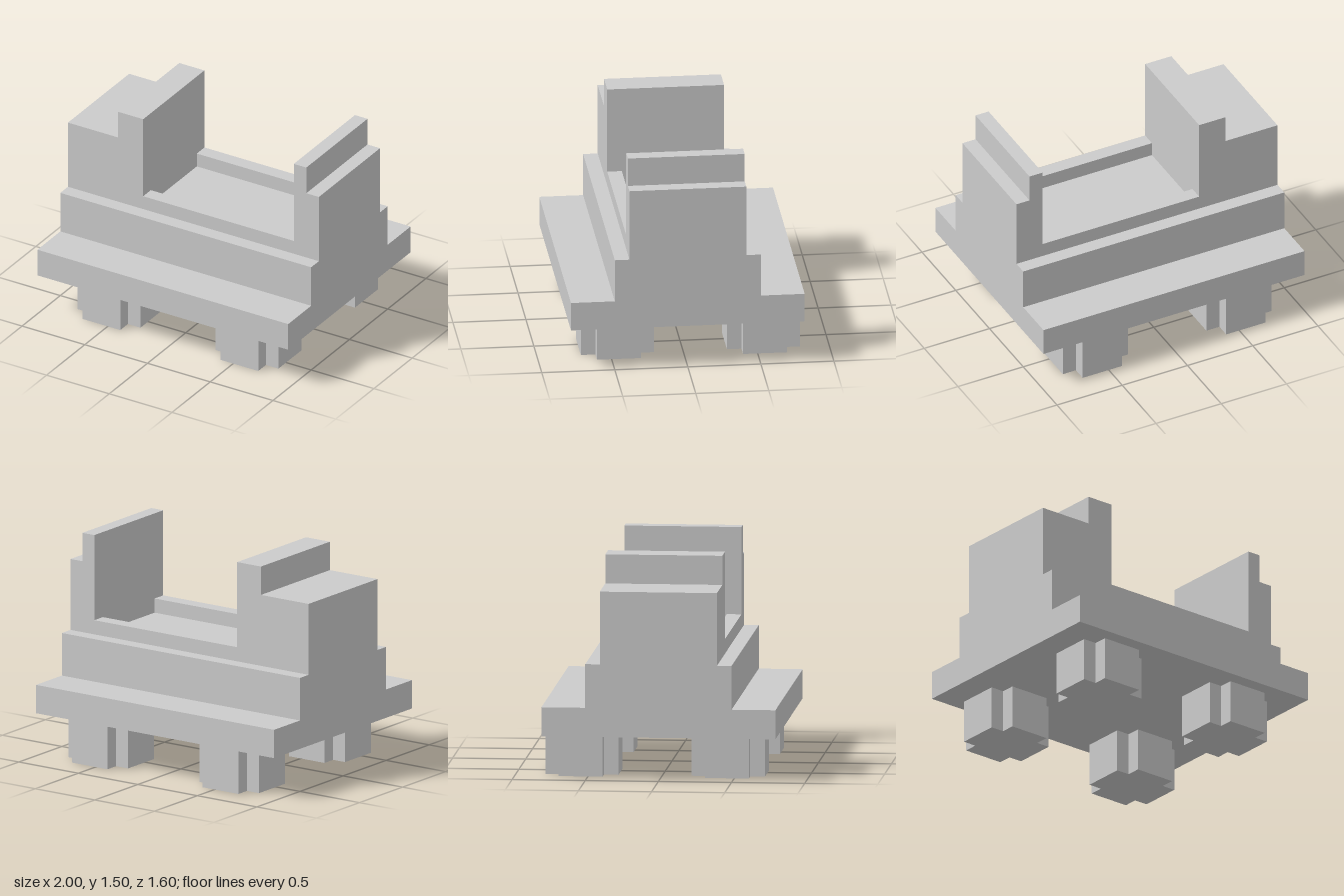
import * as THREE from 'three';

const material = new THREE.MeshStandardMaterial({ color: 0xcccccc, flatShading: true });

// Extrude an outline of [x, y] points along z, centred on z = 0.
function prism(name, points, depth) {
  const shape = new THREE.Shape(points.map(([x, y]) => new THREE.Vector2(x, y)));
  const geometry = new THREE.ExtrudeGeometry(shape, { depth, bevelEnabled: false });
  geometry.translate(0, 0, -depth / 2);
  const mesh = new THREE.Mesh(geometry, material);
  mesh.name = name;
  return mesh;
}

export function createModel() {
  const model = new THREE.Group();
  model.name = 'steppedCradle';

  // Stepped base, running the full length along x
  const base = prism('steppedBase', [
    [-0.8, 0.3], [0.8, 0.3], [0.8, 0.5], [0.5, 0.5],
    [0.5, 0.8], [-0.5, 0.8], [-0.5, 0.5], [-0.8, 0.5],
  ], 2);
  base.rotation.y = Math.PI / 2;
  model.add(base);

  // End blocks, each with a raised inner lip
  model.add(prism('wideEndBlock', [
    [-1, 0.8], [-0.4, 0.8], [-0.4, 1.5], [-0.6, 1.5], [-0.6, 1.3], [-1, 1.3],
  ], 0.8));
  model.add(prism('narrowEndBlock', [
    [0.8, 0.8], [1, 0.8], [1, 1.3], [0.9, 1.3], [0.9, 1.5], [0.8, 1.5],
  ], 0.8));

  // Low rims along both long sides of the bed
  for (const side of [1, -1]) {
    const rim = new THREE.Mesh(new THREE.BoxGeometry(1.2, 0.1, 0.1), material);
    rim.name = side > 0 ? 'frontRim' : 'backRim';
    rim.position.set(0.2, 0.85, side * 0.35);
    model.add(rim);
  }

  // Feet with notched corners
  const a = 0.25, b = 0.15;
  const cross = [
    [-b, -a], [b, -a], [b, -b], [a, -b], [a, b], [b, b],
    [b, a], [-b, a], [-b, b], [-a, b], [-a, -b], [-b, -b],
  ];
  for (const x of [-0.55, 0.55]) {
    for (const z of [0.45, -0.55]) {
      const foot = prism((z > 0 ? 'front' : 'back') + (x > 0 ? 'Left' : 'Right') + 'Foot', cross, 0.3);
      foot.rotation.x = -Math.PI / 2;
      foot.position.set(x, 0.15, z);
      model.add(foot);
    }
  }
  return model;
}
